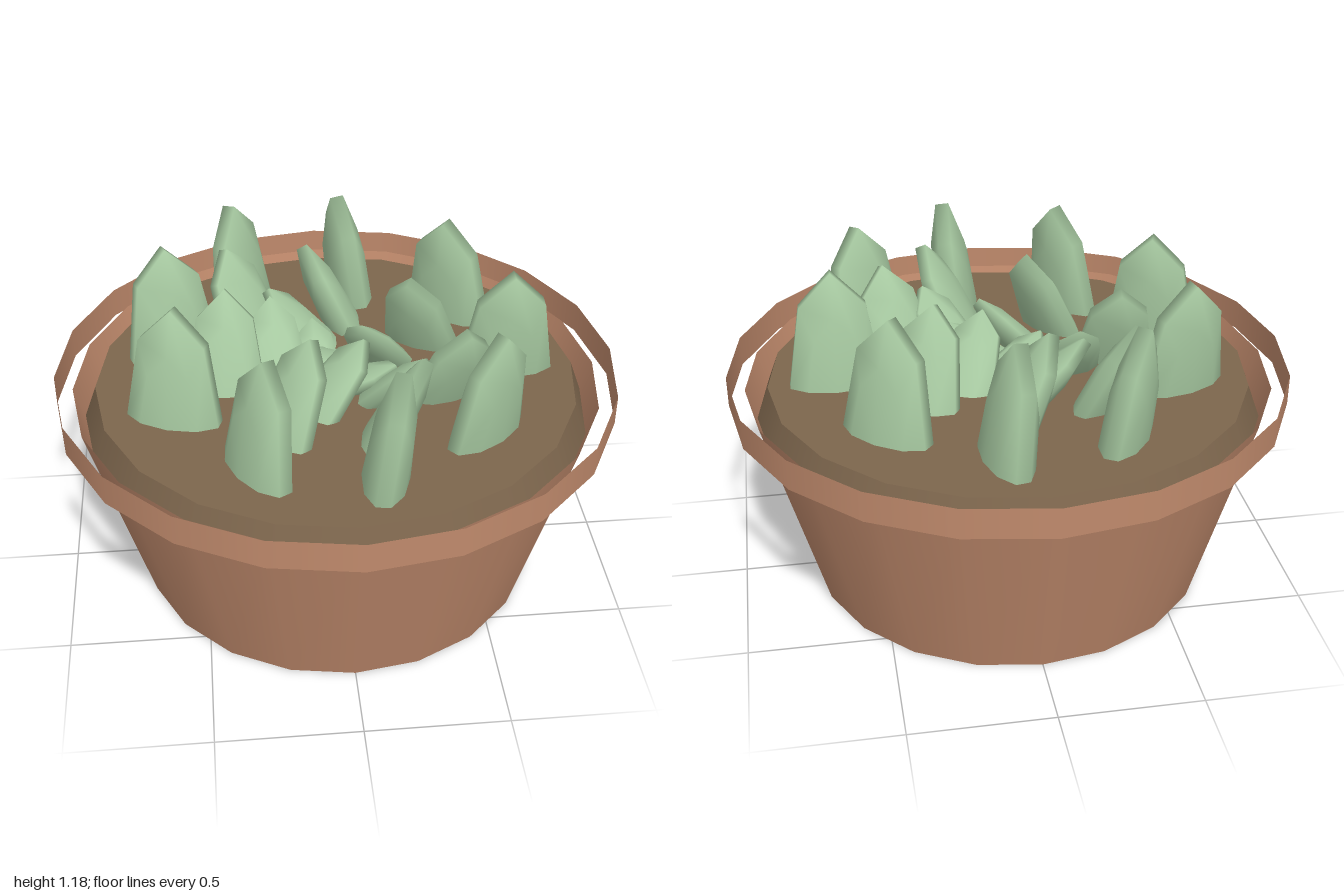
import * as THREE from 'three';

const SIDES = 20;
const SOIL_Y = 0.77;

function material(color, side = THREE.FrontSide) {
  const m = new THREE.MeshStandardMaterial({ side });
  m.color.setHex(color);
  return m;
}

function addMesh(parent, name, geometry, mat, y = 0) {
  const mesh = new THREE.Mesh(geometry, mat);
  mesh.name = name;
  mesh.position.y = y;
  parent.add(mesh);
  return mesh;
}

export function createModel() {
  const group = new THREE.Group();
  group.name = 'pottedSucculent';

  const clay = material(0xc08a6c, THREE.DoubleSide);
  const earth = material(0x7d664d);
  const green = material(0xa6c8a0);

  // Tapered pot, open at the top, with a floor
  const potHeight = 0.765;
  addMesh(group, 'potWall',
    new THREE.CylinderGeometry(0.94, 0.73, potHeight, SIDES, 1, true), clay, potHeight / 2);
  const floor = addMesh(group, 'potFloor', new THREE.CircleGeometry(0.73, SIDES), clay);
  floor.rotation.x = Math.PI / 2;

  // Thin band around the mouth
  addMesh(group, 'rimBand',
    new THREE.CylinderGeometry(1, 1, 0.11, SIDES, 1, true), clay, potHeight);

  // Soil plug with sloping edge
  addMesh(group, 'soil',
    new THREE.CylinderGeometry(0.86, 0.905, 0.12, SIDES), earth, SOIL_Y - 0.06);

  // Leaf: coarse flattened ball with its poles on the thin axis
  const leafGeometry = new THREE.SphereGeometry(1, 8, 5);
  leafGeometry.rotateX(Math.PI / 2);
  leafGeometry.scale(0.174, 0.43, 0.08);

  // Rosette: rings get smaller and lean more towards the middle
  const rings = [
    { count: 9, radius: 0.615 },
    { count: 7, radius: 0.4 },
    { count: 5, radius: 0.21 },
    { count: 3, radius: 0.07 },
  ];
  rings.forEach(({ count, radius }, ring) => {
    const rosette = new THREE.Group();
    rosette.name = `leafRing${ring + 1}`;
    group.add(rosette);
    for (let i = 0; i < count; i++) {
      const angle = ring * 0.35 + (i / count) * Math.PI * 2;
      const leaf = addMesh(rosette, 'leaf', leafGeometry, green);
      leaf.position.set(Math.cos(angle) * radius, SOIL_Y, Math.sin(angle) * radius);
      leaf.rotation.set(0.12 + ring * 0.3, angle, 0, 'YXZ');
      leaf.scale.setScalar(1 - ring * 0.15);
    }
  });

  return group;
}
